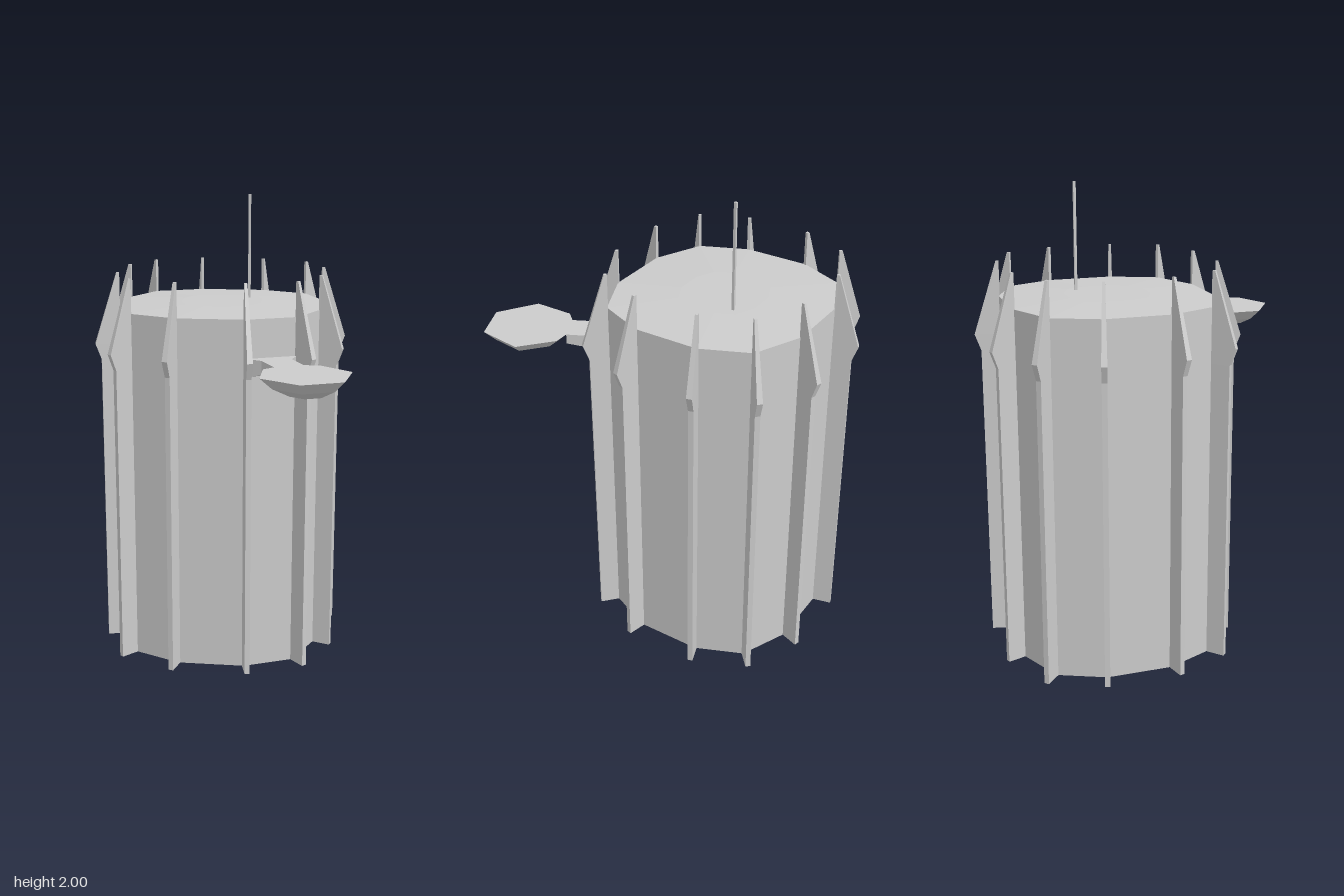
import * as THREE from 'three';

const grey = new THREE.MeshStandardMaterial({ color: 0xcccccc, flatShading: true });
const greyDouble = new THREE.MeshStandardMaterial({ color: 0xcccccc, flatShading: true, side: THREE.DoubleSide });

// Skin stacked rings of [x, y, z] points (counterclockwise from above, bottom to top)
function loft(rings, capBottom = true) {
  const n = rings[0].length;
  const pos = [];
  const tri = (...pts) => pts.forEach((p) => pos.push(...p));
  for (let k = 0; k + 1 < rings.length; k++) {
    const a = rings[k], b = rings[k + 1];
    for (let i = 0; i < n; i++) {
      const j = (i + 1) % n;
      tri(a[i], a[j], b[j]);
      tri(a[i], b[j], b[i]);
    }
  }
  const bottom = rings[0], top = rings[rings.length - 1];
  for (let i = 1; i + 1 < n; i++) {
    tri(top[0], top[i], top[i + 1]);
    if (capBottom) tri(bottom[0], bottom[i + 1], bottom[i]);
  }
  const g = new THREE.BufferGeometry();
  g.setAttribute('position', new THREE.Float32BufferAttribute(pos, 3));
  g.computeVertexNormals();
  return g;
}

function addMesh(parent, name, geometry, material = grey) {
  const mesh = new THREE.Mesh(geometry, material);
  mesh.name = name;
  parent.add(mesh);
  return mesh;
}

// Lift a flat [x, z] outline to a height, scaled about a centre
const ringAt = (outline, y, s = 1, cx = 0, cz = 0) =>
  outline.map(([x, z]) => [cx + (x - cx) * s, y, cz + (z - cz) * s]);

export function createModel() {
  const model = new THREE.Group();
  model.name = 'tower';

  // Twelve corners: three per quadrant, with the direction each fin points
  const CX = -0.023, CZ = -0.182;
  const quadrant = [[0.436, 0.141, 16.5], [0.35, 0.34, 45], [0.144, 0.432, 73.5]];
  const corners = [];
  for (const [sx, sz] of [[1, 1], [-1, 1], [-1, -1], [1, -1]]) {
    for (const [x, z, deg] of quadrant) {
      const a = THREE.MathUtils.degToRad(deg);
      corners.push({ x: sx * x, z: sz * z, angle: Math.atan2(sz * Math.sin(a), sx * Math.cos(a)) });
    }
  }
  corners.sort((a, b) => Math.atan2(b.z, b.x) - Math.atan2(a.z, a.x));
  const outline = corners.map((c) => [CX + c.x, CZ + c.z]);

  // Open-bottomed shell with a barely raised roof
  addMesh(model, 'towerShell', loft([
    ringAt(outline, 0),
    ringAt(outline, 1.532),
    ringAt(outline, 1.544, 0.4, CX, CZ),
  ], false), greyDouble);

  // Upright fins, flaring out and then tapering to a tip
  const finRing = (y, r, inner, outer) =>
    [[-0.004, inner], [r, outer], [r, -outer], [-0.004, -inner]].map(([x, z]) => [x, y, z]);
  const finGeometry = loft([
    finRing(0, 0.08, 0.007, 0.011),
    finRing(1.3, 0.08, 0.007, 0.011),
    finRing(1.37, 0.106, 0.007, 0.012),
    finRing(1.68, 0.008, 0.006, 0.006),
  ]);
  const fins = new THREE.Group();
  fins.name = 'fins';
  model.add(fins);
  for (const c of corners) {
    const fin = addMesh(fins, 'fin', finGeometry);
    fin.position.set(CX + c.x, 0, CZ + c.z);
    fin.rotation.y = -c.angle;
  }

  // Antenna on the roof
  const mast = addMesh(model, 'antenna', new THREE.BoxGeometry(0.011, 0.465, 0.011));
  mast.position.set(0.087, 1.7675, -0.288);

  // Landing platform: shallow faceted bowl
  const pad = [[0.25, 0.4], [0.21, 0.445], [0.21, 0.615], [0.37, 0.717],
    [0.533, 0.645], [0.56, 0.455], [0.43, 0.345], [0.365, 0.345]];
  addMesh(model, 'landingPad', loft([
    ringAt(pad, 1.292, 0.38, 0.39, 0.54),
    ringAt(pad, 1.325, 0.74, 0.39, 0.53),
    ringAt(pad, 1.37),
  ]));

  // Bridge from the wall to the pad, thicker where it meets the wall
  const bridge = [[0.19, 0.28], [0.25, 0.4], [0.365, 0.345], [0.31, 0.23], [0.327, 0.158], [0.121, 0.25]];
  const depth = [1.31, 1.328, 1.328, 1.31, 1.295, 1.295];
  addMesh(model, 'padBridge', loft([
    bridge.map(([x, z], i) => [x, depth[i], z]),
    ringAt(bridge, 1.37),
  ]));

  return model;
}
